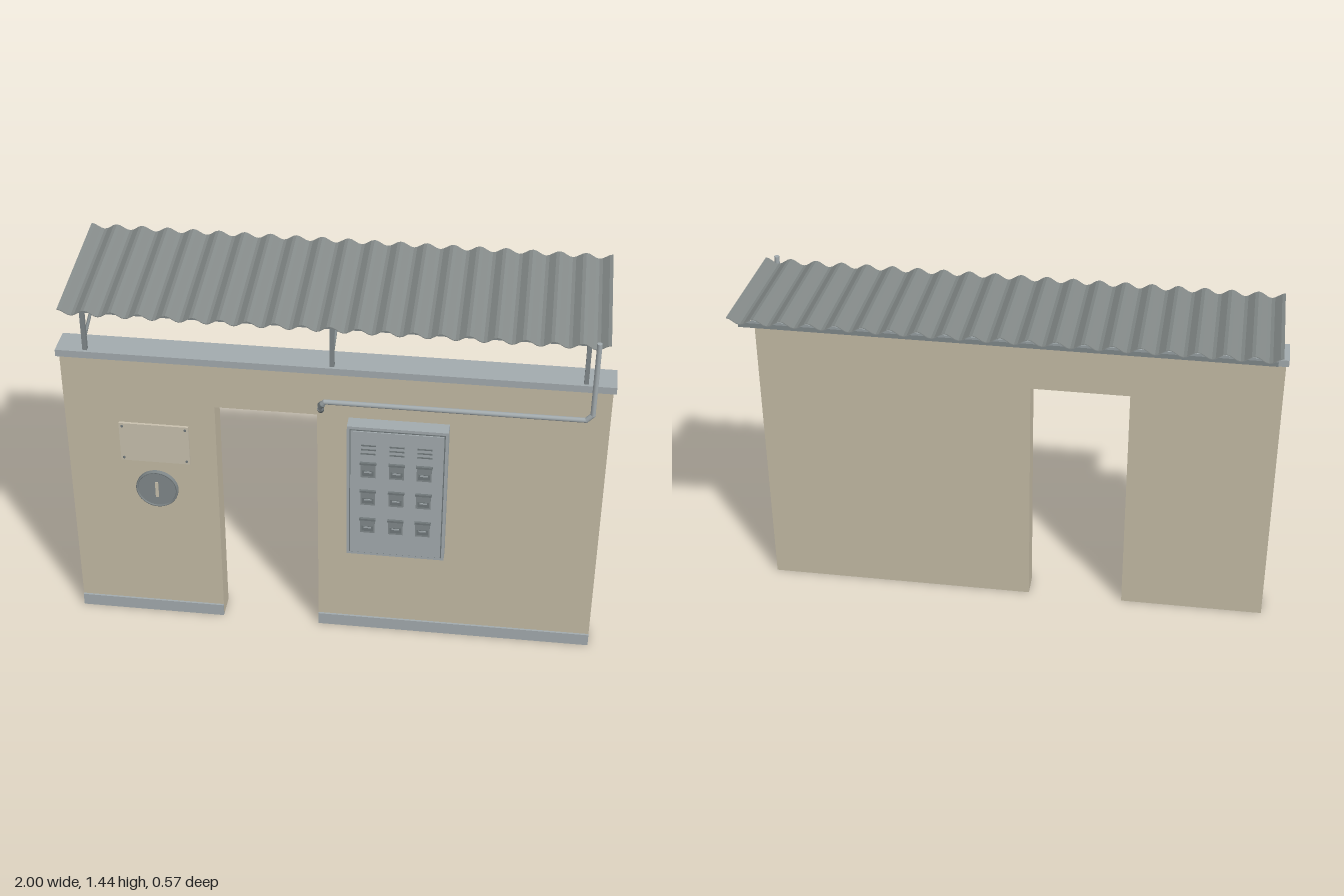
import * as THREE from 'three';

const mat = (name, color, side = THREE.FrontSide) => {
  const m = new THREE.MeshStandardMaterial({ color, side });
  m.name = name;
  return m;
};

export function createModel() {
  const wallMat = mat('beige plaster', 0xc4bba5);
  const capMat = mat('pale grey', 0xa3abae);
  const roofMat = mat('roof grey', 0x858b8a);
  const steelMat = mat('steel grey', 0x80888a);
  const darkMat = mat('dark grey', 0x70787a);
  const plateMat = mat('light beige', 0xc9c1ae);

  const root = new THREE.Group();
  root.name = 'shelteredWall';

  const add = (name, geo, material, parent = root) => {
    const m = new THREE.Mesh(geo, material);
    m.name = name;
    parent.add(m);
    return m;
  };
  // Box given by its lower and upper limits
  const box = (name, material, [x0, x1], [y0, y1], [z0, z1], parent) => {
    const m = add(name, new THREE.BoxGeometry(x1 - x0, y1 - y0, z1 - z0), material, parent);
    m.position.set((x0 + x1) / 2, (y0 + y1) / 2, (z0 + z1) / 2);
    return m;
  };
  // Straight round bar between two points
  const rod = (name, material, a, b, r, parent) => {
    const p = new THREE.Vector3(...a), q = new THREE.Vector3(...b);
    const d = q.clone().sub(p);
    const m = add(name, new THREE.CylinderGeometry(r, r, d.length(), 10), material, parent);
    m.position.copy(p).addScaledVector(d, 0.5);
    m.quaternion.setFromUnitVectors(new THREE.Vector3(0, 1, 0), d.normalize());
    return m;
  };
  const disc = (name, material, x, y, z0, z1, r, sides, parent) => {
    const m = add(name, new THREE.CylinderGeometry(r, r, z1 - z0, sides), material, parent);
    m.rotation.x = Math.PI / 2;
    m.position.set(x, y, (z0 + z1) / 2);
    return m;
  };

  // Wall with doorway
  const outline = [[-0.99, 0], [-0.43, 0], [-0.43, 0.98], [-0.055, 0.98], [-0.055, 0],
    [0.99, 0], [0.99, 1.165], [-0.99, 1.165]];
  const wallShape = new THREE.Shape(outline.map(([x, y]) => new THREE.Vector2(x, y)));
  const wall = add('wall', new THREE.ExtrudeGeometry(wallShape, { depth: 0.093, bevelEnabled: false }), wallMat);
  wall.position.z = 0.118;
  box('wallCap', capMat, [-1, 1], [1.163, 1.19], [0.109, 0.226]);
  box('rightSkirting', capMat, [-0.99, -0.43], [0, 0.05], [0.21, 0.219]);
  box('leftSkirting', capMat, [-0.055, 0.99], [0, 0.05], [0.21, 0.219]);

  // Corrugated sloping roof
  const waves = 20, steps = waves * 8, x0 = -0.967, width = 1.932, pts = [];
  const wavePoint = (i, lift) => new THREE.Vector2(
    x0 + (width * i) / steps, 0.011 * Math.cos((i / 8) * Math.PI * 2) + lift);
  for (let i = 0; i <= steps; i++) pts.push(wavePoint(i, -0.0015));
  for (let i = steps; i >= 0; i--) pts.push(wavePoint(i, 0.0015));
  const roof = add('corrugatedRoof',
    new THREE.ExtrudeGeometry(new THREE.Shape(pts), { depth: 0.543, bevelEnabled: false }), roofMat);
  roof.position.set(0, 1.423, -0.282);
  roof.rotation.x = 0.0985;

  // Roof frame: posts, braces and long rails
  const frame = new THREE.Group();
  frame.name = 'roofFrame';
  root.add(frame);
  for (const x of [-0.893, 0, 0.893]) {
    box('post', steelMat, [x - 0.008, x + 0.008], [1.188, 1.362], [0.197, 0.215], frame);
    rod('brace', steelMat, [x, 1.235, 0.2], [x, 1.393, -0.19], 0.006, frame);
  }
  box('frontRail', steelMat, [-0.95, 0.93], [1.346, 1.363], [0.197, 0.215], frame);
  box('backRail', steelMat, [-0.95, 0.93], [1.39, 1.408], [-0.263, -0.247], frame);

  // Drain pipe: drop, long run and outlet bending back to the wall
  const pipe = new THREE.Group();
  pipe.name = 'drainPipe';
  root.add(pipe);
  const path = [[0.924, 1.388, 0.263], [0.924, 1.095, 0.263], [0.902, 1.072, 0.263],
    [-0.02, 1.072, 0.263], [-0.036, 1.052, 0.26], [-0.04, 1.008, 0.22]];
  for (let i = 0; i < path.length - 1; i++) {
    rod('pipeSection', capMat, path[i], path[i + 1], 0.0095, pipe);
    if (i) {
      const joint = add('pipeElbow', new THREE.SphereGeometry(0.0097, 10, 8), capMat, pipe);
      joint.position.set(...path[i]);
    }
  }
  const collar = new THREE.Vector3(-0.036, 1.052, 0.26);
  rod('pipeCollar', darkMat, [-0.029, 1.061, 0.262], collar.toArray(), 0.0125, pipe);
  rod('outletCollar', darkMat, [-0.0395, 1.022, 0.232], [-0.04, 1.006, 0.218], 0.012, pipe);

  // Meter cabinet with raised rim, door, vents and nine hatches
  const cabinet = new THREE.Group();
  cabinet.name = 'meterCabinet';
  root.add(cabinet);
  box('cabinetBody', capMat, [0.06, 0.425], [0.4, 0.977], [0.21, 0.268], cabinet);
  box('doorShadowGap', darkMat, [0.07, 0.415], [0.411, 0.966], [0.268, 0.2695], cabinet);
  box('door', capMat, [0.074, 0.411], [0.415, 0.962], [0.268, 0.274], cabinet);
  for (const x of [0.139, 0.243, 0.343]) {
    for (const y of [0.904, 0.886, 0.868]) {
      box('ventSlot', darkMat, [x - 0.027, x + 0.027], [y - 0.0025, y + 0.0025], [0.273, 0.277], cabinet);
    }
    for (const y of [0.798, 0.674, 0.546]) {
      box('hatch', steelMat, [x - 0.027, x + 0.027], [y - 0.033, y + 0.025], [0.273, 0.279], cabinet);
      box('hatchHood', darkMat, [x - 0.03, x + 0.03], [y + 0.025, y + 0.033], [0.273, 0.284], cabinet);
      box('hatchGlass', darkMat, [x - 0.021, x + 0.021], [y - 0.025, y - 0.002], [0.278, 0.28], cabinet);
      box('hatchTag', capMat, [x - 0.014, x + 0.014], [y - 0.011, y - 0.005], [0.279, 0.281], cabinet);
    }
  }

  // Blank sign plate with rim and screws
  const sign = new THREE.Group();
  sign.name = 'signPlate';
  root.add(sign);
  box('plate', plateMat, [-0.79, -0.53], [0.722, 0.887], [0.21, 0.221], sign);
  for (const x of [-0.778, -0.542]) {
    for (const y of [0.735, 0.874]) disc('screw', darkMat, x, y, 0.22, 0.224, 0.005, 10, sign);
  }

  // Round wall fitting with a raised rim and centre bar
  const fitting = new THREE.Group();
  fitting.name = 'roundFitting';
  root.add(fitting);
  disc('fittingDisc', steelMat, -0.662, 0.597, 0.21, 0.222, 0.08, 40, fitting);
  const rim = add('fittingRim', new THREE.TorusGeometry(0.076, 0.004, 6, 40), steelMat, fitting);
  rim.position.set(-0.662, 0.597, 0.222);
  box('fittingBar', plateMat, [-0.668, -0.656], [0.563, 0.631], [0.221, 0.225], fitting);

  return root;
}
